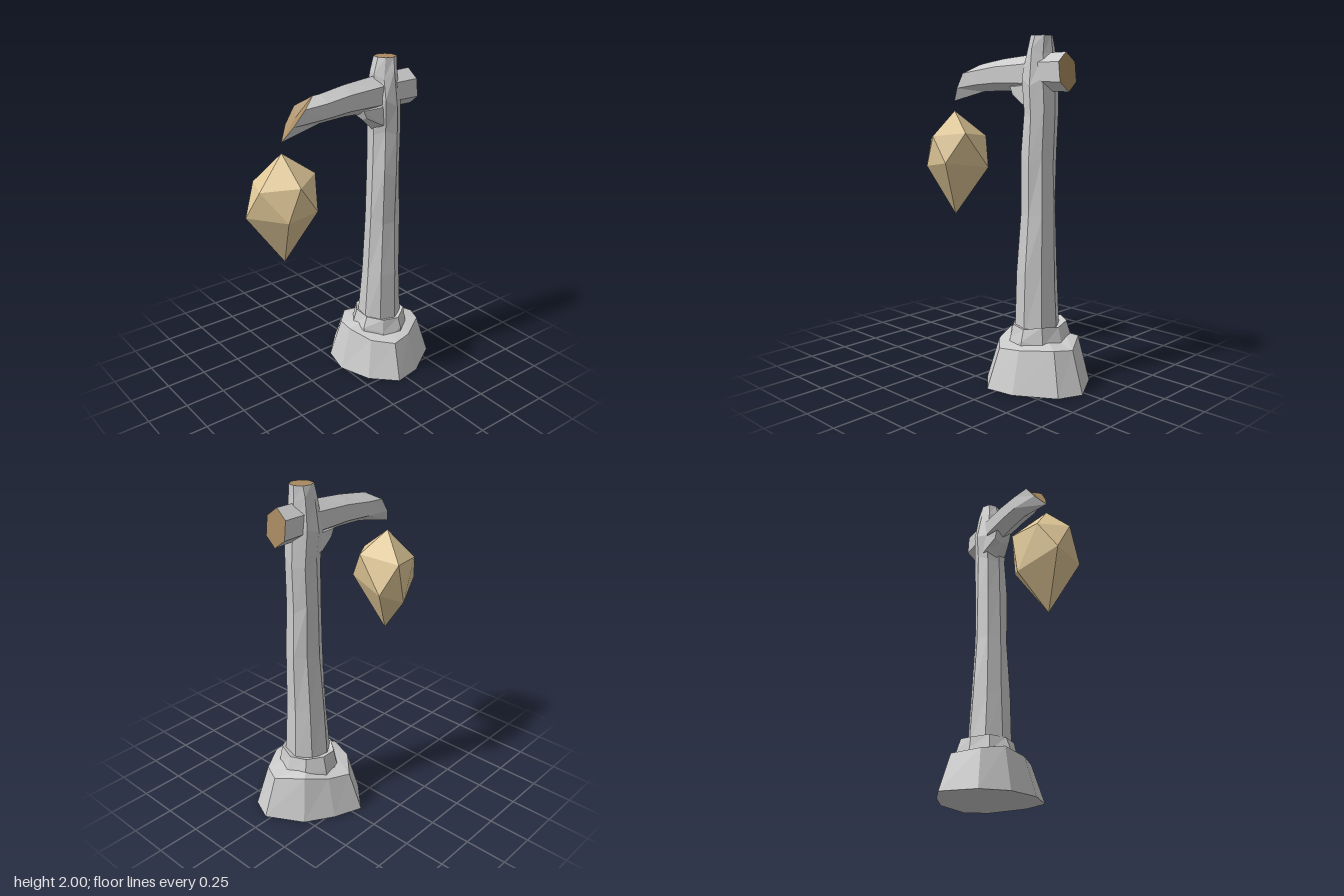
import * as THREE from 'three';
import { ConvexGeometry } from 'three/addons/geometries/ConvexGeometry.js';

const V = (x, y, z) => new THREE.Vector3(x, y, z);
const material = (color) => new THREE.MeshStandardMaterial({ color, flatShading: true });

function makeRandom(seed) {
  return () => (seed = (seed * 16807) % 2147483647) / 2147483647;
}

function facets(name, points, mat) {
  const geometry = new THREE.BufferGeometry().setFromPoints(points);
  geometry.computeVertexNormals();
  const mesh = new THREE.Mesh(geometry, mat);
  mesh.name = name;
  return mesh;
}

// Skin between rings that run counterclockwise around the direction of travel
function loft(name, rings, mat) {
  const pts = [];
  for (let i = 0; i < rings.length - 1; i++) {
    const n = rings[i].length;
    for (let j = 0; j < n; j++) {
      const k = (j + 1) % n;
      const [a, b, c, d] = [rings[i][j], rings[i][k], rings[i + 1][k], rings[i + 1][j]];
      pts.push(a, b, c, a, c, d);
    }
  }
  return facets(name, pts, mat);
}

// Flat end face; reversed for the start of a loft
function cap(name, ring, mat, reversed = false) {
  const loop = reversed ? [...ring].reverse() : ring;
  const mid = loop.reduce((s, p) => s.add(p), V(0, 0, 0)).divideScalar(loop.length);
  const pts = [];
  loop.forEach((p, j) => pts.push(mid, p, loop[(j + 1) % loop.length]));
  return facets(name, pts, mat);
}

// Irregular horizontal ring
function levelRing(n, y, cx, cz, rx, rz, random, jitter = 0, wave = 0) {
  return Array.from({ length: n }, (_, j) => {
    const a = (j / n) * Math.PI * 2 + 0.15;
    const s = 1 + (random() - 0.5) * jitter;
    return V(cx + Math.cos(a) * rx * s, y + wave * (random() - 0.5), cz - Math.sin(a) * rz * s);
  });
}

// Upright hexagonal ring with a corner on top
function branchRing(z, cy, rx, ry, cx = 0.01, slant = 0) {
  return Array.from({ length: 6 }, (_, j) => {
    const a = Math.PI / 2 + (j * Math.PI) / 3;
    return V(cx + Math.cos(a) * rx, cy + Math.sin(a) * ry, z + slant * Math.sin(a));
  });
}

export function createModel() {
  const group = new THREE.Group();
  const grey = material(0xcccccc);
  const cutWood = material(0xa88a60);
  const amber = material(0xe0c898);
  const random = makeRandom(41);

  // Wide base with an uneven rim
  const outline = [[0.34, -0.19], [0.31, -0.36], [0.17, -0.58], [0.03, -0.64], [-0.18, -0.52],
    [-0.28, -0.36], [-0.345, -0.19], [-0.18, -0.03], [0.0, 0.015], [0.2, -0.05]];
  const rim = [0.23, 0.24, 0.25, 0.24, 0.27, 0.24, 0.23, 0.25, 0.27, 0.24];
  const baseRing = (s, y) => outline.map(([x, z], j) =>
    V(x * s, y(j), -0.285 + (z + 0.285) * s));
  const foot = baseRing(1, () => 0);
  group.add(loft('base', [foot, baseRing(0.77, (j) => rim[j]),
    baseRing(0.5, (j) => rim[j] + 0.02)], grey));
  group.add(cap('baseUnderside', foot, grey, true));

  // Stepped collar around the foot of the trunk
  group.add(loft('collar', [
    levelRing(9, 0.2, 0.005, -0.29, 0.2, 0.19, random, 0.08),
    levelRing(9, 0.265, 0.005, -0.29, 0.185, 0.18, random, 0.08, 0.04),
    levelRing(9, 0.35, 0.005, -0.29, 0.162, 0.152, random, 0.06, 0.02),
    levelRing(9, 0.335, 0.01, -0.285, 0.11, 0.11, random),
  ], grey));

  // Trunk: y, centre x, centre z, radius x, radius z
  const trunk = [
    [0.3, 0.015, -0.28, 0.14, 0.132],
    [0.66, 0.017, -0.28, 0.12, 0.118],
    [1.0, 0.02, -0.287, 0.103, 0.104],
    [1.3, 0.018, -0.288, 0.104, 0.098],
    [1.58, 0.015, -0.295, 0.1, 0.098],
    [1.74, 0.01, -0.287, 0.112, 0.098],
    [1.9, 0.01, -0.282, 0.08, 0.082],
    [1.995, 0.01, -0.293, 0.063, 0.066],
  ].map(([y, cx, cz, rx, rz], i, all) =>
    levelRing(8, y, cx, cz, rx, rz, random, 0.1, i > 0 && i < all.length - 1 ? 0.07 : 0));
  group.add(loft('trunk', trunk, grey));
  group.add(cap('trunkTopCut', trunk[trunk.length - 1], cutWood));

  // Branch through the trunk, drooping to a slanted cut
  const back = branchRing(-0.485, 1.795, 0.08, 0.108, 0.01, 0.012);
  const slantedEnd = [V(0, 1.84, 0.21), V(-0.05, 1.79, 0.3), V(-0.035, 1.7, 0.37),
    V(0.012, 1.62, 0.43), V(0.045, 1.7, 0.37), V(0.06, 1.79, 0.3)];
  group.add(loft('branch', [
    back,
    branchRing(-0.34, 1.795, 0.08, 0.105),
    branchRing(-0.2, 1.785, 0.08, 0.105),
    branchRing(0.0, 1.78, 0.08, 0.092),
    branchRing(0.17, 1.763, 0.08, 0.083),
    slantedEnd,
  ], grey));
  group.add(cap('branchBackCut', back, cutWood, true));
  group.add(cap('branchFrontCut', slantedEnd, cutWood));

  // Knot bracing the underside of the branch
  const knot = [branchRing(-0.26, 1.67, 0.09, 0.13), branchRing(-0.21, 1.67, 0.085, 0.1),
    branchRing(-0.11, 1.69, 0.06, 0.045, 0.01, 0.02)];
  group.add(loft('knot', knot, grey), cap('knotEnd', knot[2], grey));

  // Faceted hanging lantern
  const lantern = new THREE.Mesh(new ConvexGeometry([
    V(0.01, 1.56, 0.43), V(0.01, 0.905, 0.43),
    V(-0.165, 1.4, 0.33), V(-0.12, 1.385, 0.54), V(0.055, 1.385, 0.605),
    V(0.193, 1.41, 0.43), V(0.08, 1.43, 0.257),
    V(-0.05, 1.21, 0.638), V(0.18, 1.22, 0.505), V(0.19, 1.25, 0.32),
    V(-0.095, 1.21, 0.238), V(-0.165, 1.14, 0.39),
  ]), amber);
  lantern.name = 'lantern';
  group.add(lantern);

  return group;
}
